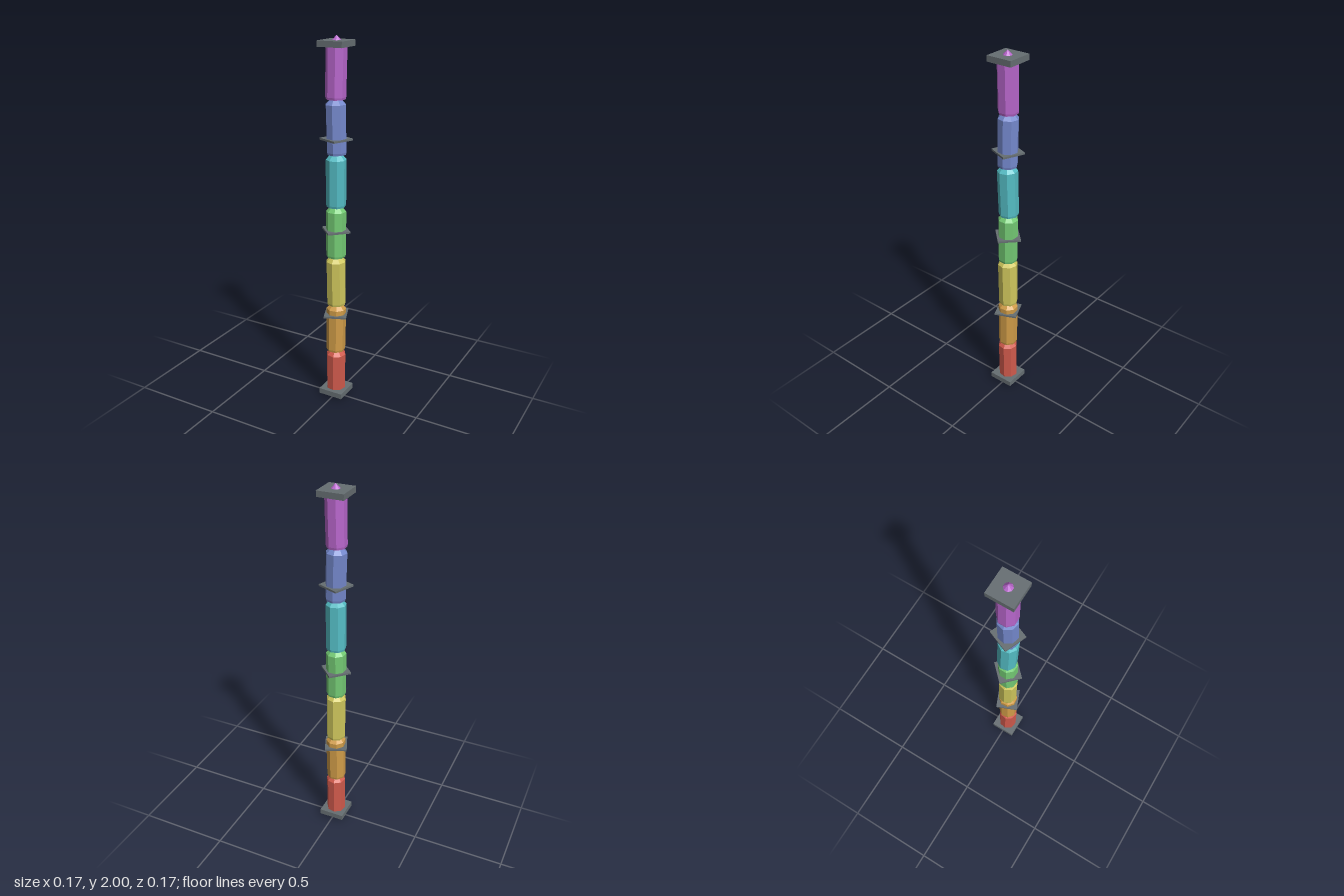
import * as THREE from 'three';

const mat = (name, color) => {
  const m = new THREE.MeshStandardMaterial({ color });
  m.name = name;
  return m;
};

// Cut stone: nearly flat base, straight body, 45 degree pointed top
function crystalGeometry(turn) {
  const profile = [[0, 0], [0.05, 0.008], [0.053, 0.02], [0.054, 0.262], [0, 0.318]]
    .map(([r, y]) => new THREE.Vector2(r, y - 0.159));
  const smooth = new THREE.LatheGeometry(profile, 8, turn);
  const geo = smooth.toNonIndexed(); // separate faces for faceted shading
  geo.computeVertexNormals();
  return geo;
}

export function createModel() {
  const model = new THREE.Group();
  model.name = 'crystalColumn';
  const slate = mat('slate grey', 0x666e72);

  // Colour, lean towards x, lean towards z, turn about the axis
  const stones = [
    ['red', 0xd05a4c, 0.01, 0.01, 0.2],
    ['orange', 0xd09c48, 0.01, -0.012, 0.5],
    ['yellow', 0xcec65c, 0, 0.02, 0.1],
    ['green', 0x74ca74, 0, -0.01, 0.35],
    ['cyan', 0x54bcc4, 0.015, 0.025, 0.6],
    ['blue', 0x7488cc, -0.025, 0, 0.15],
    ['violet', 0xb866cc, 0.02, 0, 0.4],
  ];
  stones.forEach(([name, color, leanX, leanZ, turn], i) => {
    const stone = new THREE.Mesh(crystalGeometry(turn), mat(name, color));
    stone.name = name + 'Crystal';
    stone.position.y = 0.16 + i * 0.28;
    stone.rotation.set(leanZ, 0, -leanX);
    model.add(stone);
  });

  // Square plates, each turned a further 22.5 degrees up the column
  const plates = [
    ['bottomPlate', 0.035, 0.14, 0.03],
    ['lowerCollar', 0.51, 0.122, 0.01],
    ['middleCollar', 0.998, 0.122, 0.01],
    ['upperCollar', 1.487, 0.122, 0.01],
    ['topPlate', 1.96, 0.14, 0.03],
  ];
  plates.forEach(([name, y, width, height], i) => {
    const plate = new THREE.Mesh(new THREE.BoxGeometry(width, height, width), slate);
    plate.name = name;
    plate.position.y = y;
    plate.rotation.y = i * Math.PI / 8;
    model.add(plate);
  });
  return model;
}
